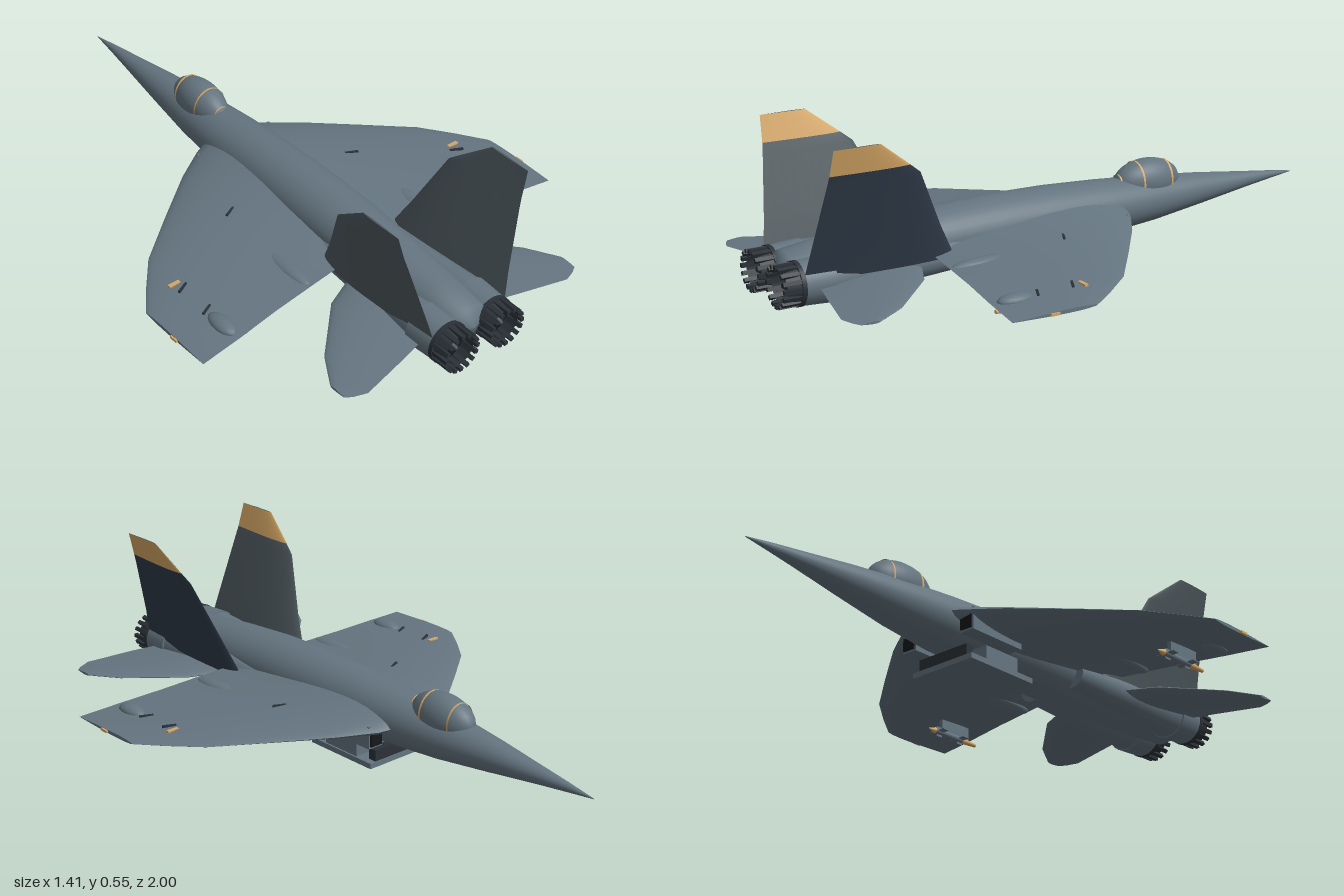
import * as THREE from 'three';

const mat = (name, color, side = THREE.FrontSide) => {
  const m = new THREE.MeshStandardMaterial({ color, side });
  m.name = name;
  return m;
};

export function createModel() {
  const root = new THREE.Group();
  root.name = 'jet';
  const D = THREE.DoubleSide;
  const body = mat('blue grey', 0x64747f, D);
  const slate = mat('slate', 0x4e595e, D);
  const navy = mat('navy', 0x2f3a48, D);
  const gold = mat('gold', 0xd6a765, D);
  const dark = mat('charcoal', 0x2b3238, D);
  const black = mat('near black', 0x15181b, D);

  const add = (name, geo, m, x = 0, y = 0, z = 0, parent = root) => {
    const mesh = new THREE.Mesh(geo, m);
    mesh.name = name;
    mesh.position.set(x, y, z);
    parent.add(mesh);
    return mesh;
  };
  const box = (name, w, h, d, m, x, y, z) => add(name, new THREE.BoxGeometry(w, h, d), m, x, y, z);
  // cylinder lying along z; r1 is the radius at the +z end
  const tube = (name, r1, r2, len, m, x, y, z, open = false, n = 24) =>
    add(name, new THREE.CylinderGeometry(r1, r2, len, n, 1, open).rotateX(Math.PI / 2), m, x, y, z);

  // surface through rows of points
  const grid = (rows, flip = false) => {
    const n = rows[0].length, idx = [];
    for (let i = 0; i < rows.length - 1; i++) for (let j = 0; j < n - 1; j++) {
      const a = i * n + j, b = a + 1, c = a + n, d = c + 1;
      if (flip) idx.push(a, c, b, b, c, d);
      else idx.push(a, b, c, b, d, c);
    }
    const g = new THREE.BufferGeometry();
    g.setAttribute('position', new THREE.Float32BufferAttribute(rows.flat(2), 3));
    g.setIndex(idx);
    g.computeVertexNormals();
    return g;
  };

  // one face of an aerofoil: stations [x, y, zLead, zTrail, thickness]
  const CH = 14;
  const foil = (stations, s, side, upright) => stations.map(([x, y, z0, z1, t]) =>
    Array.from({ length: CH + 1 }, (_, j) => {
      const u = (j / CH) ** 1.5;
      const h = side * t / 2 * Math.sin(Math.PI * u ** 0.6);
      const z = z0 + (z1 - z0) * u;
      return upright ? [s * x + h, y, z] : [s * x, y + h, z];
    }));
  const flatFoil = (name, stations, s) => {
    const g = new THREE.Group();
    g.name = name;
    root.add(g);
    for (const side of [1, -1])
      add(side > 0 ? 'upperSkin' : 'lowerSkin', grid(foil(stations, s, side, false), s * side < 0), body, 0, 0, 0, g);
    // flat tip cap
    const last = stations.length - 1;
    const up = foil(stations, s, 1, false)[last], low = foil(stations, s, -1, false)[last];
    add('tip', grid([low, up]), body, 0, 0, 0, g);
  };

  // fuselage: [z, half width, bottom, top]
  const profile = [
    [-1, 0.001, 0.149, 0.151], [-0.9, 0.014, 0.137, 0.166], [-0.8, 0.028, 0.125, 0.178],
    [-0.6, 0.056, 0.098, 0.203], [-0.4, 0.082, 0.073, 0.223], [-0.2, 0.1, 0.057, 0.238],
    [0, 0.108, 0.05, 0.249], [0.2, 0.112, 0.05, 0.252], [0.4, 0.111, 0.05, 0.247],
    [0.6, 0.102, 0.053, 0.232], [0.8, 0.088, 0.06, 0.212], [0.93, 0.076, 0.07, 0.195], [0.95, 0.001, 0.13, 0.132],
  ];
  const ring = ([z, w, b, t]) => Array.from({ length: 37 }, (_, i) => {
    const a = i / 36 * Math.PI * 2;
    return [w * Math.sin(a), (b + t) / 2 - (t - b) / 2 * Math.cos(a), z];
  });
  add('fuselage', grid(profile.map(ring)), body);

  // canopy with thin frames
  const canopy = add('canopy', new THREE.SphereGeometry(1, 32, 20), body, 0, 0.21, -0.385);
  canopy.scale.set(0.065, 0.075, 0.125);
  for (const dz of [-0.07, 0.045, 0.112]) {
    const k = Math.sqrt(1 - (dz / 0.125) ** 2) + 0.025;
    tube('canopyFrame', 1, 1, 0.007, gold, 0, 0.21, -0.385 + dz, true, 36).scale.set(0.065 * k, 0.075 * k, 1);
  }

  const wing = [
    [0.07, 0.15, -0.26, 0.5, 0.1], [0.13, 0.143, -0.235, 0.5, 0.085], [0.24, 0.137, -0.165, 0.51, 0.055],
    [0.4, 0.127, -0.04, 0.525, 0.036], [0.555, 0.117, 0.085, 0.545, 0.022], [0.635, 0.112, 0.185, 0.553, 0.017],
    [0.7, 0.108, 0.275, 0.56, 0.012],
  ];
  const tail = [
    [0.1, 0.112, 0.52, 0.87, 0.036], [0.24, 0.108, 0.585, 0.905, 0.028], [0.4, 0.1, 0.745, 0.94, 0.014],
    [0.44, 0.098, 0.81, 0.925, 0.011], [0.463, 0.097, 0.848, 0.91, 0.008],
  ];
  const fin = [
    [0.138, 0.13, 0.425, 0.932, 0.042], [0.165, 0.24, 0.485, 0.913, 0.034], [0.219, 0.435, 0.58, 0.884, 0.018],
    [0.228, 0.465, 0.618, 0.88, 0.015], [0.25, 0.547, 0.725, 0.875, 0.006],
  ];

  for (const s of [1, -1]) {
    flatFoil('wing', wing, s);
    flatFoil('tailplane', tail, s);

    // canted fin, tip painted on one face
    add('finFaceA', grid(foil(fin.slice(0, 4), s, 1, true), true), s > 0 ? navy : slate);
    add('finTipPaint', grid(foil(fin.slice(3), s, 1, true), true), gold);
    add('finFaceB', grid(foil(fin, s, -1, true)), slate);
    add('finTop', grid([1, -1].map(k => foil(fin, s, k, true)[4])), slate);

    // engine nacelle and intake
    tube('nacelle', 0.07, 0.045, 0.5, body, s * 0.088, 0.116, 0.58);
    tube('engineHousing', 0.068, 0.074, 0.1, body, s * 0.09, 0.116, 0.88);
    box('intake', 0.055, 0.075, 0.22, body, s * 0.122, 0.12, -0.1);
    box('intakeMouth', 0.045, 0.06, 0.008, black, s * 0.122, 0.12, -0.212);

    // exhaust nozzle with petals
    tube('nozzle', 0.056, 0.066, 0.06, dark, s * 0.09, 0.116, 0.955, true);
    tube('nozzleRing', 0.07, 0.07, 0.014, dark, s * 0.09, 0.116, 0.934);
    add('exhaust', new THREE.CircleGeometry(0.056, 24), black, s * 0.09, 0.116, 0.943);
    tube('exhaustCone', 0.006, 0.028, 0.035, dark, s * 0.09, 0.116, 0.96);
    for (let i = 0; i < 16; i++) {
      const a = i / 16 * Math.PI * 2;
      const p = box('nozzlePetal', 0.012, 0.013, 0.072, dark,
        s * 0.09 + Math.cos(a) * 0.061, 0.116 + Math.sin(a) * 0.061, 0.964);
      p.rotation.z = a;
    }

    // actuator fairings on the wing
    for (const [x, y, z, len] of [[0.26, 0.132, 0.39, 0.115], [0.56, 0.118, 0.465, 0.06]]) {
      const f = add('flapFairing', new THREE.SphereGeometry(1, 20, 12), body, s * x, y, z);
      f.scale.set(0.03, 0.02, len);
    }
    // short slanted fences and marker lights
    for (const [x, y, z] of [[0.25, 0.16, 0.1], [0.56, 0.127, 0.27], [0.56, 0.122, 0.39]])
      box('wingFence', 0.045, 0.012, 0.007, dark, s * x, y, z).rotation.y = -s * 0.45;
    box('wingMarker', 0.04, 0.008, 0.012, gold, s * 0.57, 0.127, 0.24);
    box('tipLight', 0.008, 0.008, 0.03, gold, s * 0.702, 0.108, 0.42);

    // missile on its pylon
    const mx = s * 0.49, my = 0.064;
    box('pylon', 0.014, 0.045, 0.13, body, mx, 0.092, 0.385);
    tube('missile', 0.011, 0.011, 0.13, body, mx, my, 0.355, false, 16);
    tube('missileNose', 0.011, 0.001, 0.03, gold, mx, my, 0.275, false, 16);
    tube('missileTail', 0.006, 0.011, 0.07, gold, mx, my, 0.455, false, 16);
    for (const z of [0.31, 0.41]) {
      box('missileFin', 0.068, 0.003, 0.025, body, mx, my, z);
      box('missileFin', 0.003, 0.036, 0.025, body, mx, my, z);
    }
  }

  // belly tray on its mounts
  box('bellyTray', 0.248, 0.018, 0.28, body, 0, 0.009, -0.05);
  box('trayMount', 0.236, 0.05, 0.145, body, 0, 0.042, -0.045);
  box('trayStrut', 0.2, 0.04, 0.03, dark, 0, 0.036, -0.172);

  return root;
}
